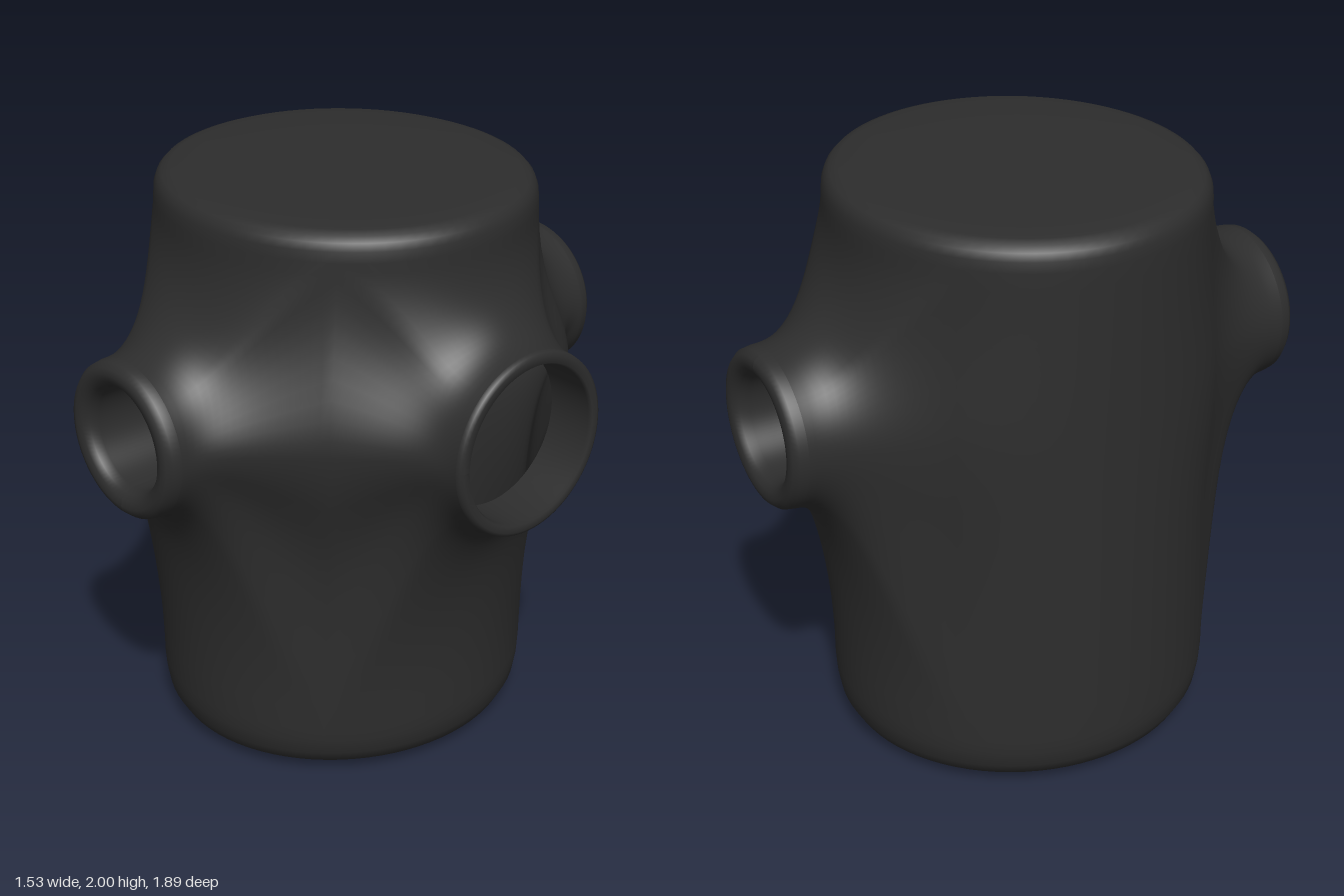
import * as THREE from 'three';
import { mergeGeometries, mergeVertices } from 'three/addons/utils/BufferGeometryUtils.js';

const N = 20;                       // segments per quarter turn
const AXIS_X = -0.13, PORT_Y = 1.3, BOTTOM = 0.2, TOP = 1.9;
const UP = new THREE.Vector3(0, 1, 0);
const PORTS = [
  { name: 'sidePort', angle: 0, reach: 0.87, radius: 0.31, y: 1.3,
    lip: [[0.31, 0.87], [0.307, 0.885], [0.295, 0.892], [0.272, 0.892], [0.265, 0.88], [0.265, 0.72]] },
  ...[1, -1].map((s) => ({ name: s > 0 ? 'frontPort' : 'backPort', angle: s * Math.PI / 2, reach: 0.89, radius: 0.265, y: 1.29,
    lip: [[0.265, 0.89], [0.26, 0.92], [0.245, 0.938], [0.225, 0.944], [0.2, 0.938], [0.182, 0.92], [0.173, 0.89], [0.173, 0.66]] })),
];

const dir = (a) => new THREE.Vector3(Math.cos(a), 0, Math.sin(a));

// Height on the wall: s = -1 at the bottom edge, 0 at the ports, 1 at the top edge
const wallY = (s) => PORT_Y + s * (s > 0 ? TOP - PORT_Y : PORT_Y - BOTTOM);

// Point on the oval body; the wall swells where neighbouring ports blend together
function bodyPoint(theta, s, scale = 1, y = wallY(s)) {
  const t = wallY(s) / 2, c = Math.cos(theta), lerp = THREE.MathUtils.lerp;
  const amount = c > 0 ? 0.2 : 0.04 * (1 + c) / 0.293;
  const swell = 1 + amount * (1 - s * s) * Math.exp(-(((wallY(s) - PORT_Y) / 0.35) ** 2));
  const k = swell * scale;
  return new THREE.Vector3(lerp(-0.152, -0.117, t) + lerp(0.612, 0.648, t) * c * k, y,
    lerp(0.66, 0.61, t) * Math.sin(theta) * k);
}

// Grid surface from a point rule
function surface(nu, nv, point) {
  const pos = [], index = [];
  for (let i = 0; i <= nu; i++) for (let j = 0; j <= nv; j++) pos.push(...point(i / nu, j / nv).toArray());
  for (let i = 0; i < nu; i++) for (let j = 0; j < nv; j++) {
    const a = i * (nv + 1) + j, b = a + nv + 1;
    index.push(a, a + 1, b, b, a + 1, b + 1);
  }
  const g = new THREE.BufferGeometry();
  g.setAttribute('position', new THREE.Float32BufferAttribute(pos, 3));
  g.setIndex(index);
  return g;
}

// Quarter of the wall flaring from its four edges out to a round port
function portQuarter({ angle, reach, radius, y }) {
  const axis = dir(angle), side = dir(angle + Math.PI / 2);
  const centre = new THREE.Vector3(AXIS_X, y, 0).addScaledVector(axis, reach);
  return surface(18, 4 * N, (u, v) => {
    const phi = v * Math.PI * 2 - Math.PI / 4, edge = Math.min(3, Math.floor(v * 4)), e = (v * 4 - edge) * 2 - 1;
    const [h, s] = [[1, e], [-e, 1], [-1, -e], [e, -1]][edge];
    const theta = angle + h * Math.PI / 4, normal = dir(theta);
    const start = centre.clone().addScaledVector(side, radius * Math.cos(phi)).addScaledVector(UP, radius * Math.sin(phi));
    const end = bodyPoint(theta, s);
    const toLip = start.clone().sub(end), upright = Math.sin(phi) ** 2;
    const c1 = start.clone().addScaledVector(axis, -(0.35 + 0.2 * upright) * toLip.dot(axis));
    const along = toLip.clone().addScaledVector(normal, -toLip.dot(normal));
    const c2 = end.clone().addScaledVector(along, 0.4 + 0.3 * upright);
    return new THREE.CubicBezierCurve3(start, c1, c2, end).getPoint(u);
  });
}

// Rounded end: rings of [scale, y]
function cap(s, rings) {
  return surface(4 * N, rings.length - 1, (u, v) => {
    const [scale, y] = rings[Math.round(v * (rings.length - 1))];
    return bodyPoint(u * Math.PI * 2 + Math.PI / 4, s, scale, y);
  });
}

export function createModel() {
  const group = new THREE.Group();
  const black = new THREE.MeshStandardMaterial({ color: 0x2d2d2d, side: THREE.DoubleSide });
  black.name = 'matte black';

  // Body: three port quarters, plain back quarter and rounded ends, welded smooth
  const parts = PORTS.map(portQuarter);
  parts.push(surface(N, N, (u, v) => bodyPoint(Math.PI * (0.75 + u * 0.5), v * 2 - 1)));
  parts.push(cap(1, [[1, 1.9], [0.995, 1.935], [0.98, 1.96], [0.955, 1.977], [0.91, 1.988], [0.8, 1.995], [0.5, 2], [0, 2]]));
  parts.push(cap(-1, [[0, 0], [0.5, 0.002], [0.75, 0.01], [0.87, 0.025], [0.94, 0.05], [0.98, 0.095], [0.995, 0.15], [1, 0.2]]));
  const bodyGeometry = mergeVertices(mergeGeometries(parts), 1e-4);
  bodyGeometry.computeVertexNormals();
  const body = new THREE.Mesh(bodyGeometry, black);
  body.name = 'body';
  group.add(body);

  // Rounded lips running into the bores
  for (const { name, angle, y, lip } of PORTS) {
    const profile = lip.map(([r, d]) => new THREE.Vector2(r, d)).reverse();
    const mesh = new THREE.Mesh(new THREE.LatheGeometry(profile, 4 * N).scale(1, 1, 1), black);
    mesh.name = name;
    mesh.position.set(AXIS_X, y, 0);
    mesh.quaternion.setFromUnitVectors(UP, dir(angle));
    group.add(mesh);
  }
  // Lathe profiles run inside to outside, so turn their faces outward
  group.children.slice(1).forEach(({ geometry }) => {
    const idx = geometry.index.array;
    for (let i = 0; i < idx.length; i += 3) [idx[i], idx[i + 1]] = [idx[i + 1], idx[i]];
    geometry.computeVertexNormals();
  });
  return group;
}
